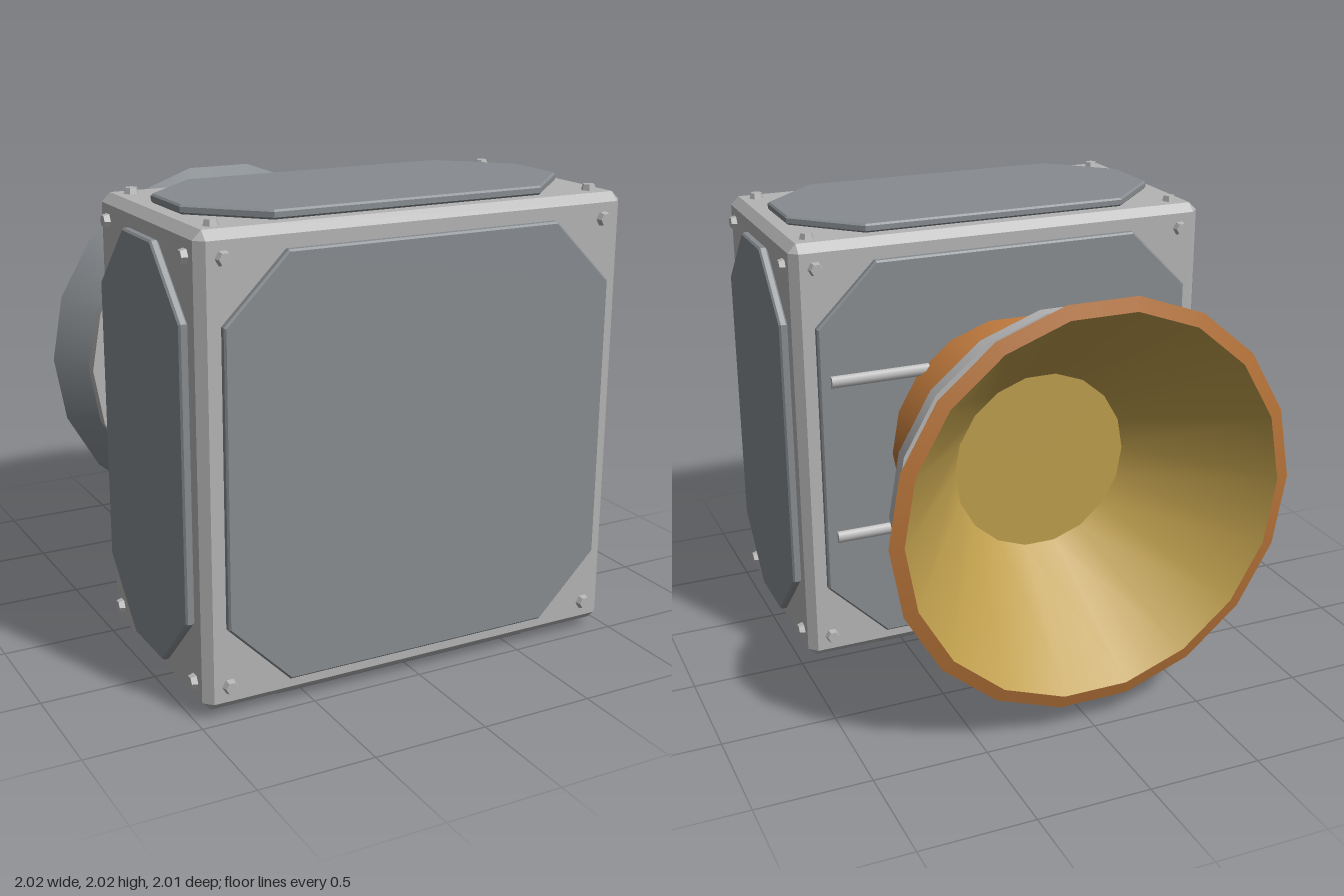
import * as THREE from 'three';
import { mergeGeometries } from 'three/addons/utils/BufferGeometryUtils.js';
import { ConvexGeometry } from 'three/addons/geometries/ConvexGeometry.js';

const mat = (name, color) => {
  const m = new THREE.MeshStandardMaterial({ color });
  m.name = name;
  return m;
};

const SIDES = 18;
const HX = 0.97, HY = 0.97, HZ = 0.5075; // half sizes of the housing
const CENTRE = new THREE.Vector3(0, 1, 0.4625);

// Box with all edges cut at 45 degrees
function chamferedBox(hx, hy, hz, c) {
  const pts = [];
  for (const x of [-1, 1]) for (const y of [-1, 1]) for (const z of [-1, 1]) {
    pts.push(
      new THREE.Vector3(x * hx, y * (hy - c), z * (hz - c)),
      new THREE.Vector3(x * (hx - c), y * hy, z * (hz - c)),
      new THREE.Vector3(x * (hx - c), y * (hy - c), z * hz));
  }
  return new ConvexGeometry(pts);
}

// Octagonal plate with a fine bevel, lying on z = 0 and facing +z
function platePanel(w, h) {
  const c = 0.27, b = 0.008;
  const shape = new THREE.Shape([
    [w, h - c], [w - c, h], [c - w, h], [-w, h - c],
    [-w, c - h], [c - w, -h], [w - c, -h], [w, c - h],
  ].map(([x, y]) => new THREE.Vector2(x, y)));
  return new THREE.ExtrudeGeometry(shape, {
    depth: 0.022, bevelThickness: b, bevelSize: b, bevelOffset: -b, bevelSegments: 1,
  });
}

// Surface of revolution about -z; each [radius, distance] step keeps its crease
function revolve(profile) {
  const parts = [];
  for (let i = 0; i + 1 < profile.length; i++) {
    const pair = [profile[i], profile[i + 1]].map(([r, d]) => new THREE.Vector2(r, d));
    parts.push(new THREE.LatheGeometry(pair, SIDES, Math.PI / 2));
  }
  return mergeGeometries(parts).rotateX(-Math.PI / 2);
}

export function createModel() {
  const frameGrey = mat('frame grey', 0xb4b4b4);
  const panelGrey = mat('panel grey', 0x878c90);
  const copper = mat('copper', 0xb47238);
  const brass = mat('brass', 0xbd9d4c);

  const model = new THREE.Group();
  model.name = 'boxWithHorn';
  const add = (parent, name, geometry, material) => {
    const mesh = new THREE.Mesh(geometry, material);
    mesh.name = name;
    parent.add(mesh);
    return mesh;
  };

  // Housing
  add(model, 'housing', chamferedBox(HX, HY, HZ, 0.037), frameGrey).position.copy(CENTRE);

  // Raised panel and four hexagonal bolts on each face
  const bolt = new THREE.CylinderGeometry(0.026, 0.033, 0.025, 6, 1, false, Math.PI / 2)
    .toNonIndexed().rotateX(Math.PI / 2).translate(0, 0, 0.0125);
  bolt.computeVertexNormals();
  const q = Math.PI / 2;
  const faces = [
    ['front', HX, HY, HZ, 0, 0],
    ['back', HX, HY, HZ, 0, 2 * q],
    ['left', HZ, HY, HX, 0, q],
    ['right', HZ, HY, HX, 0, -q],
    ['top', HX, HZ, HY, -q, 0],
    ['bottom', HX, HZ, HY, q, 0],
  ];
  for (const [name, w, h, out, rx, ry] of faces) {
    const face = new THREE.Group();
    face.name = name + 'Face';
    face.rotation.set(rx, ry, 0);
    face.position.set(0, 0, out).applyEuler(face.rotation).add(CENTRE);
    add(face, name + 'Panel', platePanel(w - 0.09, h - 0.09).translate(0, 0, 0.008), panelGrey);
    for (const x of [-1, 1]) for (const y of [-1, 1]) {
      add(face, name + 'Bolt', bolt, frameGrey).position.set(x * (w - 0.105), y * (h - 0.105), 0);
    }
    model.add(face);
  }

  // Horizontal rods across the back panel
  const rod = new THREE.CylinderGeometry(0.03, 0.03, 1.66, 8).rotateZ(q);
  for (const y of [0.64, 1.37]) add(model, 'backRod', rod, frameGrey).position.set(0, y, -0.077);

  // Horn
  const horn = new THREE.Group();
  horn.name = 'horn';
  horn.position.y = 1;
  model.add(horn);
  add(horn, 'neck', revolve([[0.57, 0.06], [0.46, 0.345]]), copper);
  add(horn, 'bell', revolve([[0.46, 0.345], [0.9, 0.983]]), panelGrey);
  add(horn, 'rim', revolve([[0.9, 0.983], [0.84, 1]]), copper);
  add(horn, 'bellInside', revolve([[0.84, 1], [0.4, 0.42], [0, 0.42]]), brass);
  for (const [r, inner, d] of [[0.622, 0.5, 0.43], [0.798, 0.68, 0.703]]) {
    add(horn, 'bellRing', revolve([[inner, d], [r, d], [r, d + 0.06], [inner, d + 0.06]]), frameGrey);
  }
  return model;
}
